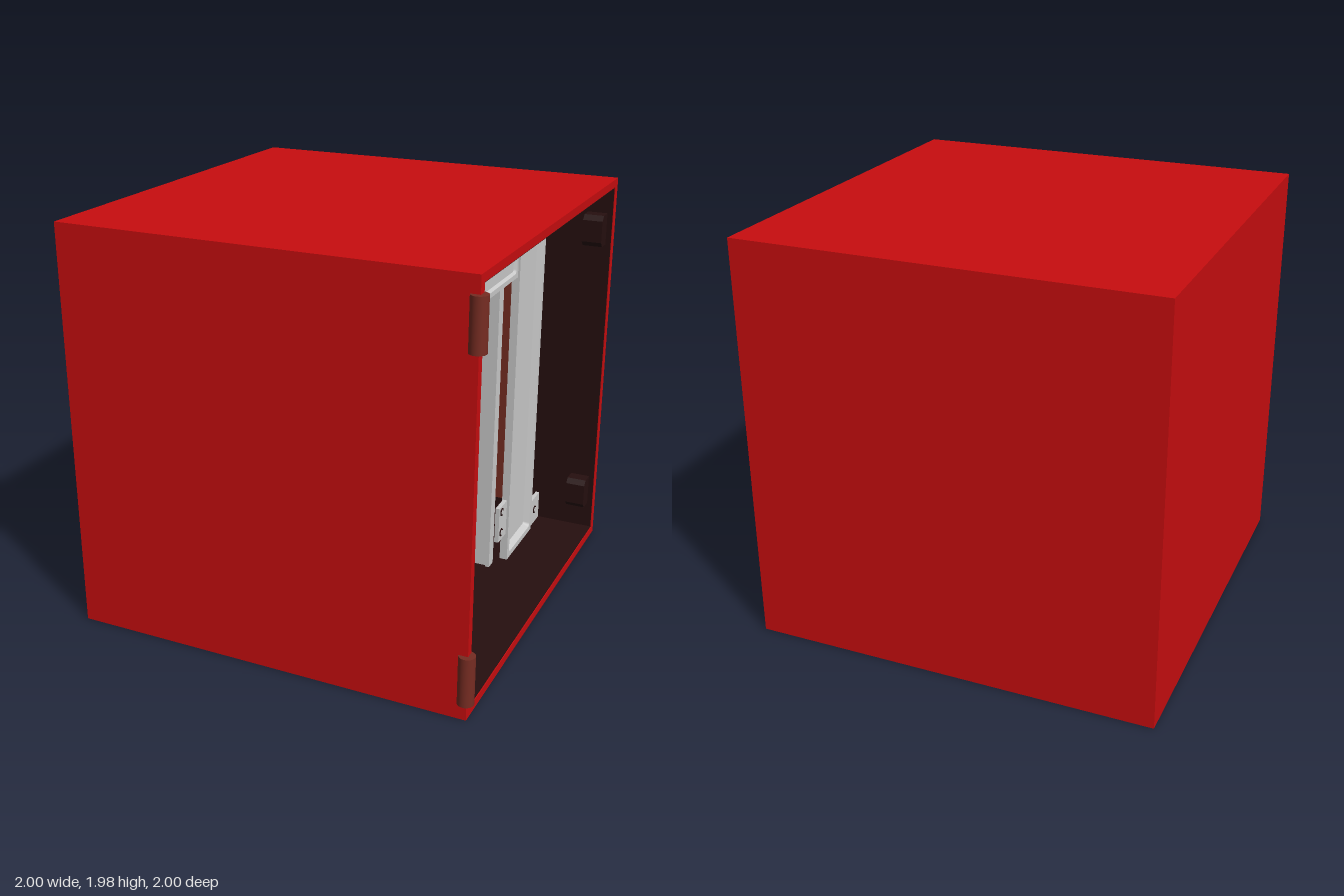
import * as THREE from 'three';

const mat = (name, color, side = THREE.FrontSide) => {
  const m = new THREE.MeshStandardMaterial({ color, side });
  m.name = name;
  return m;
};

export function createModel() {
  const red = mat('red paint', 0xc80d0f);
  const dark = mat('dark lining', 0x260f0f);
  const grey = mat('light grey metal', 0xcacaca, THREE.DoubleSide);
  const brown = mat('brown', 0x762c22);
  const model = new THREE.Group();

  const add = (name, geo, material) => {
    const mesh = new THREE.Mesh(geo, material);
    mesh.name = name;
    model.add(mesh);
    return mesh;
  };
  // Box given by its limits on each axis
  const box = (name, material, x0, x1, y0, y1, z0, z1) =>
    add(name, new THREE.BoxGeometry(x1 - x0, y1 - y0, z1 - z0), material)
      .position.set((x0 + x1) / 2, (y0 + y1) / 2, (z0 + z1) / 2);

  // Shapes are drawn with u = -z and v = y, then extruded towards +x
  const plate = (name, material, shape, x, depth) => {
    const geo = new THREE.ExtrudeGeometry(shape, { depth, bevelEnabled: false, curveSegments: 8 });
    geo.rotateY(Math.PI / 2).translate(x, 0, 0);
    return add(name, geo, material);
  };
  const roundedRect = (u0, u1, v0, v1, r, Type = THREE.Shape) => {
    const s = new Type();
    s.moveTo(u0 + r, v0);
    s.lineTo(u1 - r, v0).absarc(u1 - r, v0 + r, r, -Math.PI / 2, 0);
    s.lineTo(u1, v1 - r).absarc(u1 - r, v1 - r, r, 0, Math.PI / 2);
    s.lineTo(u0 + r, v1).absarc(u0 + r, v1 - r, r, Math.PI / 2, Math.PI);
    s.lineTo(u0, v0 + r).absarc(u0 + r, v0 + r, r, Math.PI, Math.PI * 1.5);
    return s;
  };
  const rect = (u0, u1, v0, v1) => new THREE.Shape([
    new THREE.Vector2(u0, v0), new THREE.Vector2(u1, v0),
    new THREE.Vector2(u1, v1), new THREE.Vector2(u0, v1)]);

  // Pressed panel: flat border, sloping sides and a sunken middle
  const pressedPanel = (name, u0, u1, v0, v1, rim, slope, depth, x) => {
    const frame = rect(u0, u1, v0, v1);
    const opening = [u0 + rim, u1 - rim, v0 + rim, v1 - rim];
    frame.holes.push(roundedRect(...opening, 0.02, THREE.Path));
    plate(name + 'Border', grey, frame, x - 0.04, 0.04);
    const inner = [opening[0] + slope, opening[1] - slope, opening[2] + slope, opening[3] - slope];
    const floor = roundedRect(...inner, 0.012);
    plate(name + 'Middle', grey, floor, x - depth - 0.01, 0.01);
    const a = roundedRect(...opening, 0.02).getPoints(6);
    const b = floor.getPoints(6);
    const pos = [], idx = [];
    a.forEach((p, i) => pos.push(x, p.y, -p.x, x - depth, b[i].y, -b[i].x));
    for (let i = 0; i < a.length; i++) {
      const k = 2 * i, n = 2 * ((i + 1) % a.length);
      idx.push(k, n, k + 1, n, n + 1, k + 1);
    }
    const geo = new THREE.BufferGeometry();
    geo.setAttribute('position', new THREE.Float32BufferAttribute(pos, 3));
    geo.setIndex(idx);
    geo.computeVertexNormals();
    add(name + 'Slope', geo, grey);
  };

  // Screw facing +x: dark ring with a light head
  const screw = (x, y, z) => {
    [[0.021, 0.004, dark], [0.013, 0.007, grey]].forEach(([r, h, m]) => {
      const geo = new THREE.CylinderGeometry(r, r, h, 16).rotateZ(Math.PI / 2);
      add('screw', geo, m).position.set(x + h / 2, y, z);
    });
  };

  // Outer case, open on the +x side
  const H = 1.975, T = 0.04, E = 0.97;
  box('topWall', red, -1, E, H - T, H, -1, E);
  box('bottomWall', red, -1, E, 0, T, -1, E);
  box('frontWall', red, -1, E, T, H - T, E - T, E);
  box('backWall', red, -1, E, T, H - T, -1, -1 + T);
  box('sideWall', red, -1, -1 + T, T, H - T, -1 + T, E - T);

  // Dark lining on the inner faces
  const L = 0.005;
  box('topLining', dark, -0.96, E - 0.004, H - T - L, H - T, -0.96, 0.93);
  box('floorLining', dark, -0.96, E - 0.004, T, T + L, -0.96, 0.93);
  box('frontLining', dark, -0.96, E - 0.004, T, H - T, 0.93 - L, 0.93);
  box('backLining', dark, -0.96, E - 0.004, T, H - T, -0.96, -0.96 + L);

  // Partition across the inside
  box('partition', grey, -0.15, -0.11, T + L, H - T - L, -0.955, 0.925);
  box('partitionRail', grey, -0.11, -0.07, T + L, H - T - L, 0.69, 0.75);

  // Upright channel rails
  for (const z of [0.72, -0.305]) {
    box('railWeb', grey, 0.5, 0.61, T + L, 1.62, z - 0.016, z + 0.016);
    box('railFace', grey, 0.6, 0.62, T + L, 1.62, z - 0.03, z + 0.03);
    box('railBack', grey, 0.5, 0.52, T + L, 1.62, z - 0.03, z + 0.03);
  }

  // Crossbar with two rounded ears
  pressedPanel('crossbar', -0.86, 0.385, 1.58, 1.875, 0.024, 0.012, 0.012, 0.67);
  for (const z of [0.72, -0.305]) {
    const ear = new THREE.Shape();
    ear.moveTo(-z - 0.062, 1.87);
    ear.lineTo(-z + 0.062, 1.87);
    ear.absarc(-z, 1.878, 0.062, 0, Math.PI);
    plate('crossbarEar', grey, ear, 0.645, 0.022);
    screw(0.667, 1.895, z);
  }

  // Upright panel with its fixing tabs
  pressedPanel('uprightPanel', 0.385, 0.78, 0.05, 1.925, 0.03, 0.02, 0.03, 0.68);
  for (const [v0, v1, hole] of [[0.05, 0.2, 0.13], [1.775, 1.925, 1.86]]) {
    plate('panelTab', grey, rect(0.77, 0.94, v0, v1), 0.65, 0.02);
    screw(0.67, hole, -0.86);
  }
  plate('lowerTab', grey, rect(0.27, 0.39, 0.2, 0.39), 0.645, 0.022);
  for (const y of [0.245, 0.36]) screw(0.667, y, -0.305);

  // Brown block behind the upright panel
  box('backBlock', brown, 0.22, 0.58, 0.2, 1.775, -0.95, -0.78);

  // Catches on the back wall, with clipped corners
  for (const y of [0.265, 1.72]) {
    const s = new THREE.Shape();
    s.moveTo(0.957, y - 0.08);
    s.lineTo(0.89, y - 0.08);
    s.lineTo(0.868, y - 0.055);
    s.lineTo(0.868, y + 0.055);
    s.lineTo(0.89, y + 0.08);
    s.lineTo(0.957, y + 0.08);
    plate('catch', dark, s, 0.84, 0.1);
  }

  // Hinge barrels on the front corner
  for (const y of [0.198, 1.778]) {
    add('hinge', new THREE.CylinderGeometry(0.038, 0.038, 0.236, 24), brown)
      .position.set(0.962, y, 0.96);
  }
  return model;
}
